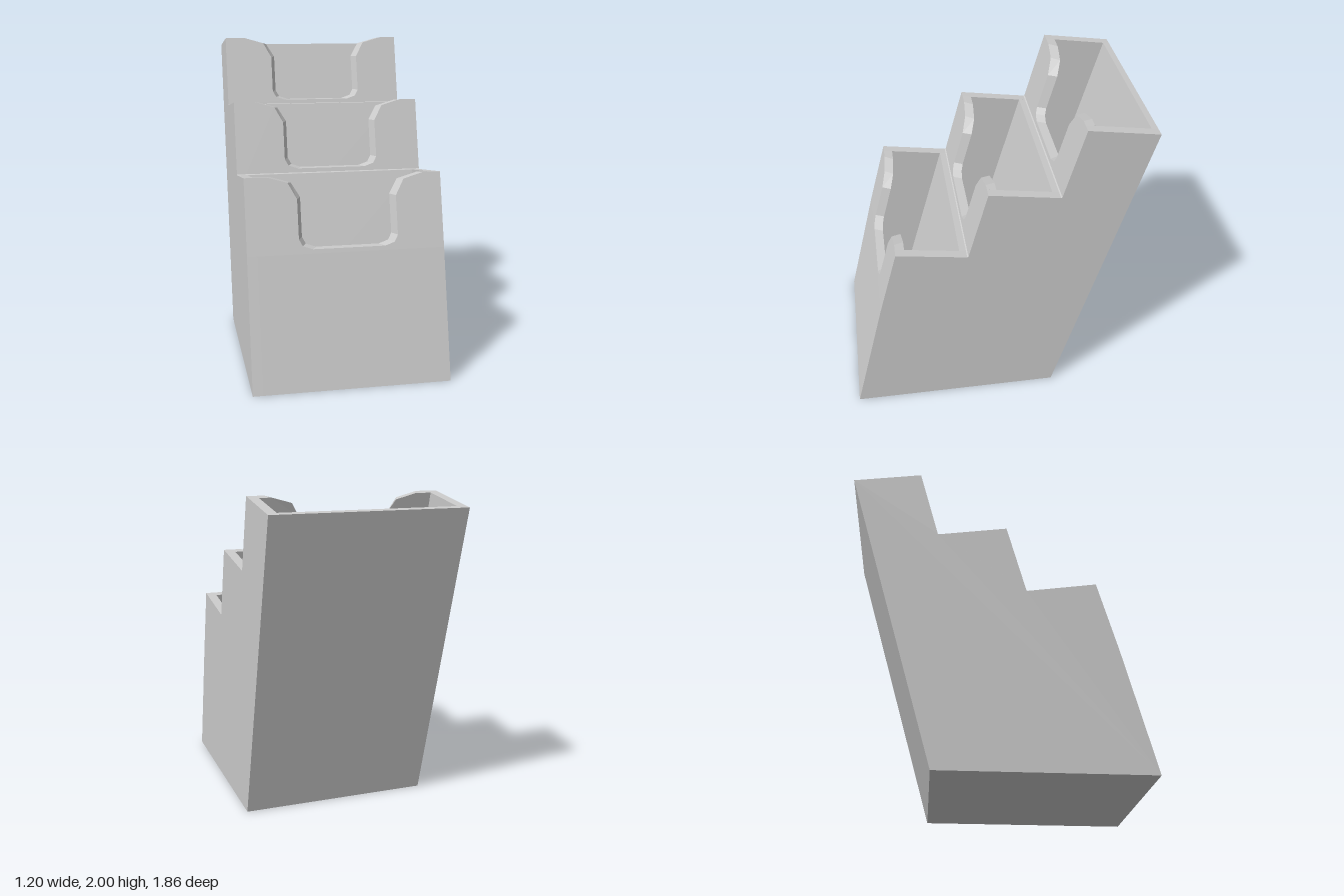
import * as THREE from 'three';

const TIERS = 3, STEP_Y = 0.385, STEP_Z = -0.5575;
const HALF_W = 0.6, INNER = 0.54;      // outer and inner half widths
const RIM = 1.23, JOINT = 0.785;       // first tier: front rim, foot of the cut panel
const WALL = 0.056, CUT_SHIFT = 0.013;

// Leaning front face of the first tier, z at height y
const frontZ = (y) => 0.615 + (RIM - y) * 0.27;

const material = new THREE.MeshStandardMaterial({ color: 0xcccccc, flatShading: true });

function addMesh(group, geometry, name) {
  const mesh = new THREE.Mesh(geometry, material);
  mesh.name = name;
  group.add(mesh);
  return mesh;
}

// Repeats a list of [z, y] points once per tier, each a step up and back
function perTier(points) {
  const out = [];
  for (let i = 0; i < TIERS; i++) {
    for (const [z, y] of points) out.push([z + i * STEP_Z, y + i * STEP_Y]);
  }
  return out;
}

// Extrudes a [z, y] side profile across x, from x0 to x1
function profileAcross(points, x0, x1) {
  const shape = new THREE.Shape(points.map(([z, y]) => new THREE.Vector2(z, y)));
  const geometry = new THREE.ExtrudeGeometry(shape, { depth: x1 - x0, bevelEnabled: false });
  return geometry.rotateY(-Math.PI / 2).translate(x1, 0, 0);
}

// Front panel with a scooped finger cut that narrows towards the inside
function frontPanel() {
  const half = [[0.48, 0], [0.355, -0.035], [0.302, -0.13], [0.302, -0.36],
    [0.28, -0.4], [0.22, -0.42]];
  const right = half.map(([x, d]) => new THREE.Vector2(CUT_SHIFT + x, RIM + d));
  const left = half.map(([x, d]) => new THREE.Vector2(CUT_SHIFT - x, RIM + d)).reverse();
  const shape = new THREE.Shape([
    new THREE.Vector2(-INNER, JOINT), new THREE.Vector2(INNER, JOINT),
    new THREE.Vector2(INNER, RIM), ...right, ...left, new THREE.Vector2(-INNER, RIM),
  ]);
  const geometry = new THREE.ExtrudeGeometry(shape, { depth: 1, bevelEnabled: false });
  const p = geometry.attributes.position;
  for (let i = 0; i < p.count; i++) {
    let x = p.getX(i), y = p.getY(i);
    let z = frontZ(y);
    if (p.getZ(i) < 0.5) {
      z -= WALL;
      if (Math.abs(x) < INNER - 0.01) x -= Math.sign(x - CUT_SHIFT) * 0.027;
      if (y > RIM - 0.1) y -= 0.008;
    }
    p.setXYZ(i, x, y, z);
  }
  geometry.computeVertexNormals();
  return geometry;
}

export function createModel() {
  const group = new THREE.Group();
  group.name = 'tieredHolder';

  // Side walls carry the full stepped outline
  const outline = [[0.93, 0],
    ...perTier([[frontZ(JOINT), JOINT], [frontZ(RIM), RIM], [0.185, 1.166]]),
    [-0.385, 0]];
  addMesh(group, profileAcross(outline, INNER, HALF_W), 'leftSide');
  addMesh(group, profileAcross(outline, -HALF_W, -INNER), 'rightSide');

  // Base, pocket floors, dividers and back wall in one section
  const section = [[0.93, 0],
    ...perTier([
      [frontZ(JOINT), JOINT], [frontZ(JOINT) - WALL, JOINT],
      [frontZ(0.132) - WALL, 0.132], [0.53, 0.083],
      [0.226, 1.172], [0.185, 1.166],
    ]),
    [-0.385, 0]];
  addMesh(group, profileAcross(section, -INNER, INNER), 'pocketBody');

  // Cut front panel of every tier
  const panel = frontPanel();
  for (let i = 0; i < TIERS; i++) {
    addMesh(group, panel, `frontPanel${i + 1}`).position.set(0, i * STEP_Y, i * STEP_Z);
  }
  return group;
}
